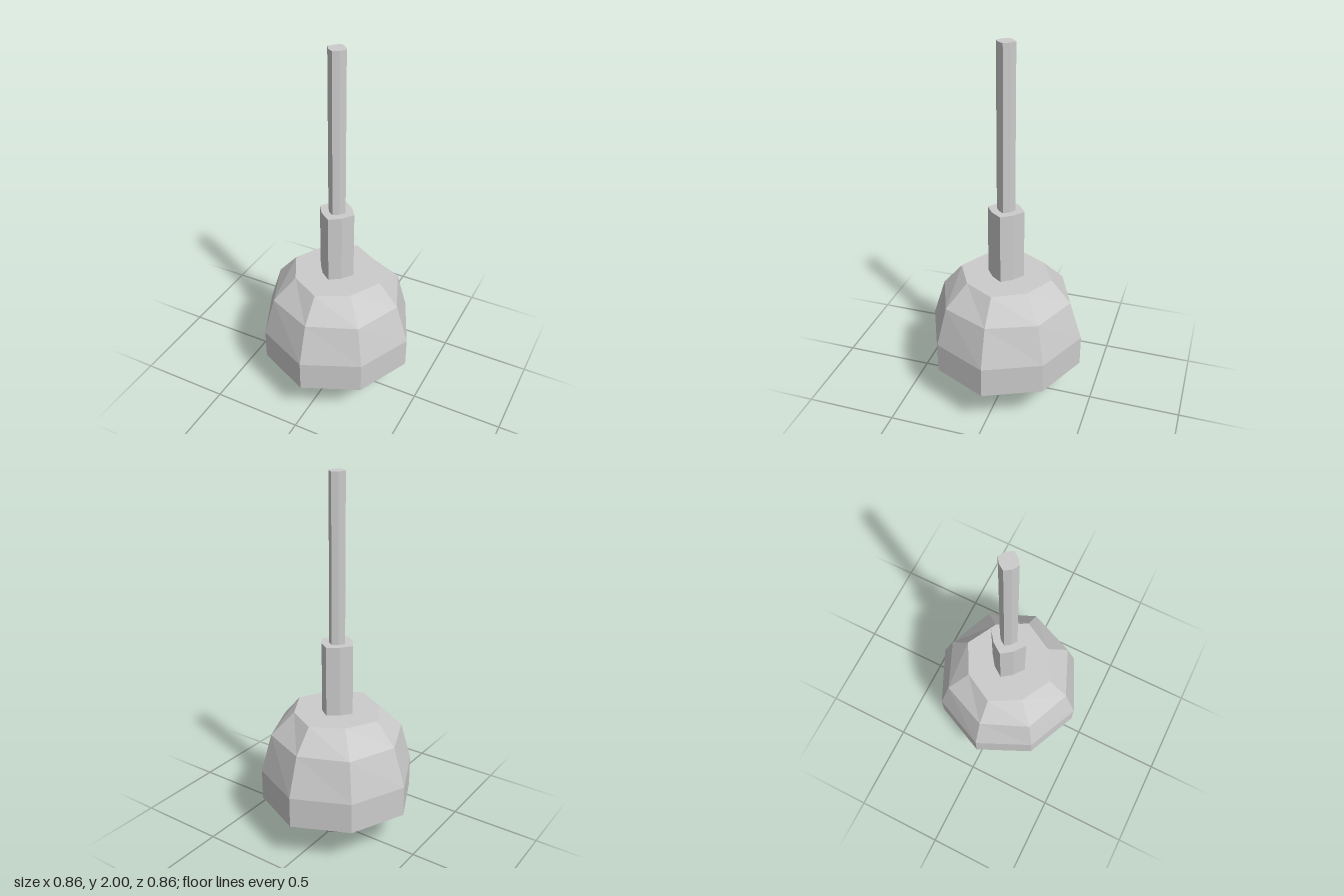
import * as THREE from 'three';

const material = new THREE.MeshStandardMaterial({ color: 0xcccccc, flatShading: true });
const openMaterial = new THREE.MeshStandardMaterial({ color: 0xcccccc, flatShading: true, side: THREE.DoubleSide });

// Eight-sided lathe; each ring is [y, radius on the axes, radius on the diagonals], bottom to top
function octagonLoft(name, rings, mat) {
  const geometry = new THREE.LatheGeometry(rings.map(([y, r]) => new THREE.Vector2(r, y)), 8);
  const pos = geometry.attributes.position;
  for (let i = 1; i < 8; i += 2) {
    rings.forEach(([, r, diagonal], j) => {
      const k = i * rings.length + j;
      const s = r > 0 ? diagonal / r : 1;
      pos.setXYZ(k, pos.getX(k) * s, pos.getY(k), pos.getZ(k) * s);
    });
  }
  geometry.computeVertexNormals();
  const mesh = new THREE.Mesh(geometry, mat);
  mesh.name = name;
  return mesh;
}

export function createModel() {
  const lamp = new THREE.Group();
  lamp.name = 'pendantLamp';

  // Faceted shade, open below and closed by a flat top
  lamp.add(octagonLoft('shade', [
    [0.23, 0.43, 0.418],
    [0.40, 0.43, 0.418],
    [0.615, 0.362, 0.36],
    [0.74, 0.255, 0.233],
    [0.74, 0, 0],
  ], openMaterial));

  // Thick socket stem above the shade, then the thin hanging rod
  lamp.add(octagonLoft('stem', [
    [0.74, 0, 0], [0.74, 0.1, 0.082], [1.125, 0.1, 0.082], [1.125, 0, 0],
  ], material));
  lamp.add(octagonLoft('rod', [
    [1.125, 0, 0], [1.125, 0.05, 0.042], [2, 0.05, 0.042], [2, 0, 0],
  ], material));

  // Low-poly bulb peeking out of the shade
  const bulb = new THREE.Mesh(new THREE.SphereGeometry(0.282, 10, 5), material);
  bulb.name = 'bulb';
  bulb.position.y = 0.286;
  lamp.add(bulb);

  return lamp;
}
